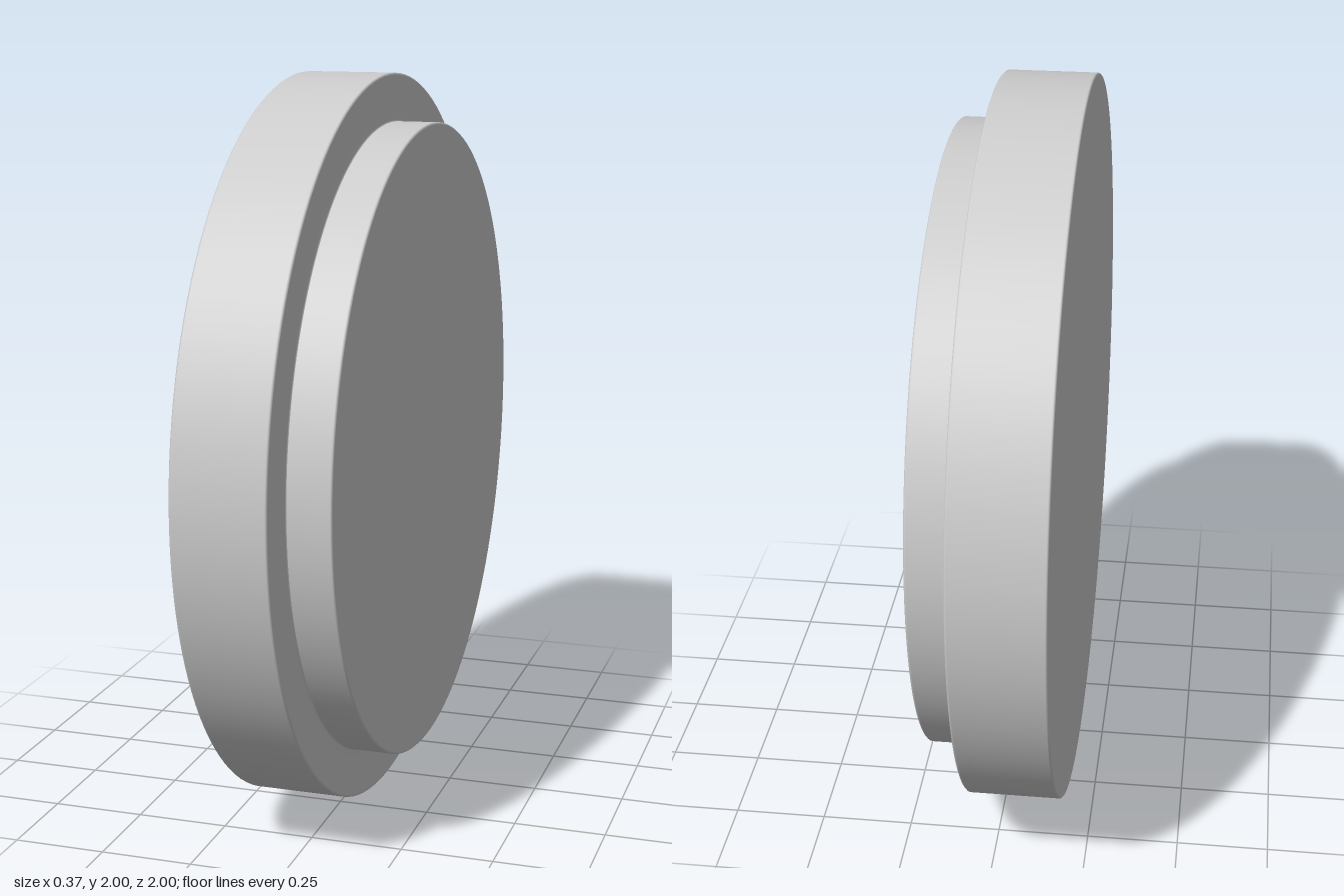
import * as THREE from 'three';

// Stepped disc turned around the x axis: wide rim plus a smaller raised face on the +x side.
export function createModel() {
  const group = new THREE.Group();
  group.name = 'steppedDisc';
  const material = new THREE.MeshStandardMaterial({ color: 0xcccccc });

  const R = 1, r = 0.87;                       // rim and raised-face radii
  const back = -0.183, step = 0.065, front = 0.183;
  const e = 0.003;                             // support loops that keep edges crisp

  // Turns a profile of [radius, x] pairs around the x axis
  const turned = (name, profile) => {
    const geometry = new THREE.LatheGeometry(profile.map(([a, b]) => new THREE.Vector2(a, b)), 128);
    geometry.rotateZ(-Math.PI / 2);
    const mesh = new THREE.Mesh(geometry, material);
    mesh.name = name;
    mesh.position.y = R;
    group.add(mesh);
  };

  // Back plate with its outer wall and flange; the flange shades softly into the step
  turned('rimPlate', [
    [0, back], [R - 2 * e, back], [R - e, back], [R, back + e], [R, back + 2 * e],
    [R, step - 2 * e], [R, step - e], [R - e, step], [R - 2 * e, step],
    [r + 0.03, step], [r + e, step], [r, step + e],
  ]);

  // Raised face: step wall and flat cap
  turned('raisedFace', [
    [r, step], [r, front - 2 * e], [r, front - e], [r - e, front], [r - 2 * e, front], [0, front],
  ]);

  return group;
}
